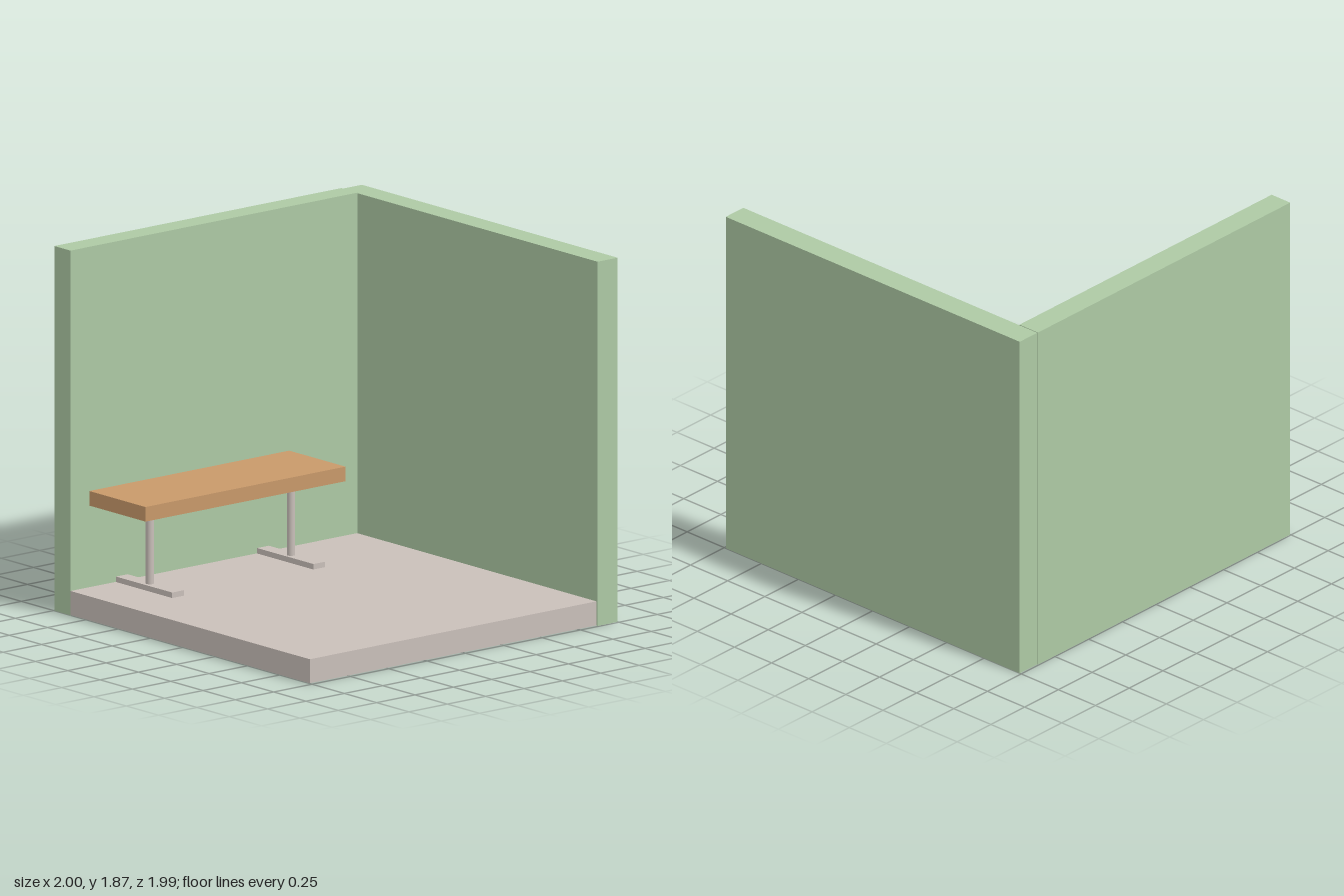
import * as THREE from 'three';

export function createModel() {
  const model = new THREE.Group();
  model.name = 'roomCorner';

  const mat = (name, color) => {
    const m = new THREE.MeshStandardMaterial({ color });
    m.name = name;
    return m;
  };
  const green = mat('wallGreen', 0xadc9a4);
  const grey = mat('warmGrey', 0xc9bfb9);
  const wood = mat('tableWood', 0xc8996a);

  // Box given by its minimum and maximum corners
  const box = (name, material, [x0, y0, z0], [x1, y1, z1], parent = model) => {
    const mesh = new THREE.Mesh(new THREE.BoxGeometry(x1 - x0, y1 - y0, z1 - z0), material);
    mesh.position.set((x0 + x1) / 2, (y0 + y1) / 2, (z0 + z1) / 2);
    mesh.name = name;
    parent.add(mesh);
  };

  // Floor slab and the two walls
  box('floor', grey, [-1, 0.002, -0.87], [0.868, 0.125, 0.983]);
  box('backWall', green, [-1, 0, -0.995], [0.87, 1.873, -0.87]);
  box('sideWall', green, [0.87, 0, -0.99], [1, 1.87, 0.99]);

  // Table: top on two posts, each on a long foot
  const table = new THREE.Group();
  table.name = 'table';
  model.add(table);
  box('tableTop', wood, [-0.88, 0.545, -0.867], [0.423, 0.62, -0.432], table);
  for (const x of [-0.668, 0.252]) {
    box('foot', grey, [x - 0.038, 0.125, -0.867], [x + 0.038, 0.153, -0.432], table);
    const post = new THREE.Mesh(new THREE.CylinderGeometry(0.021, 0.021, 0.392, 32), grey);
    post.position.set(x, 0.349, -0.65);
    post.name = 'post';
    table.add(post);
  }

  return model;
}
